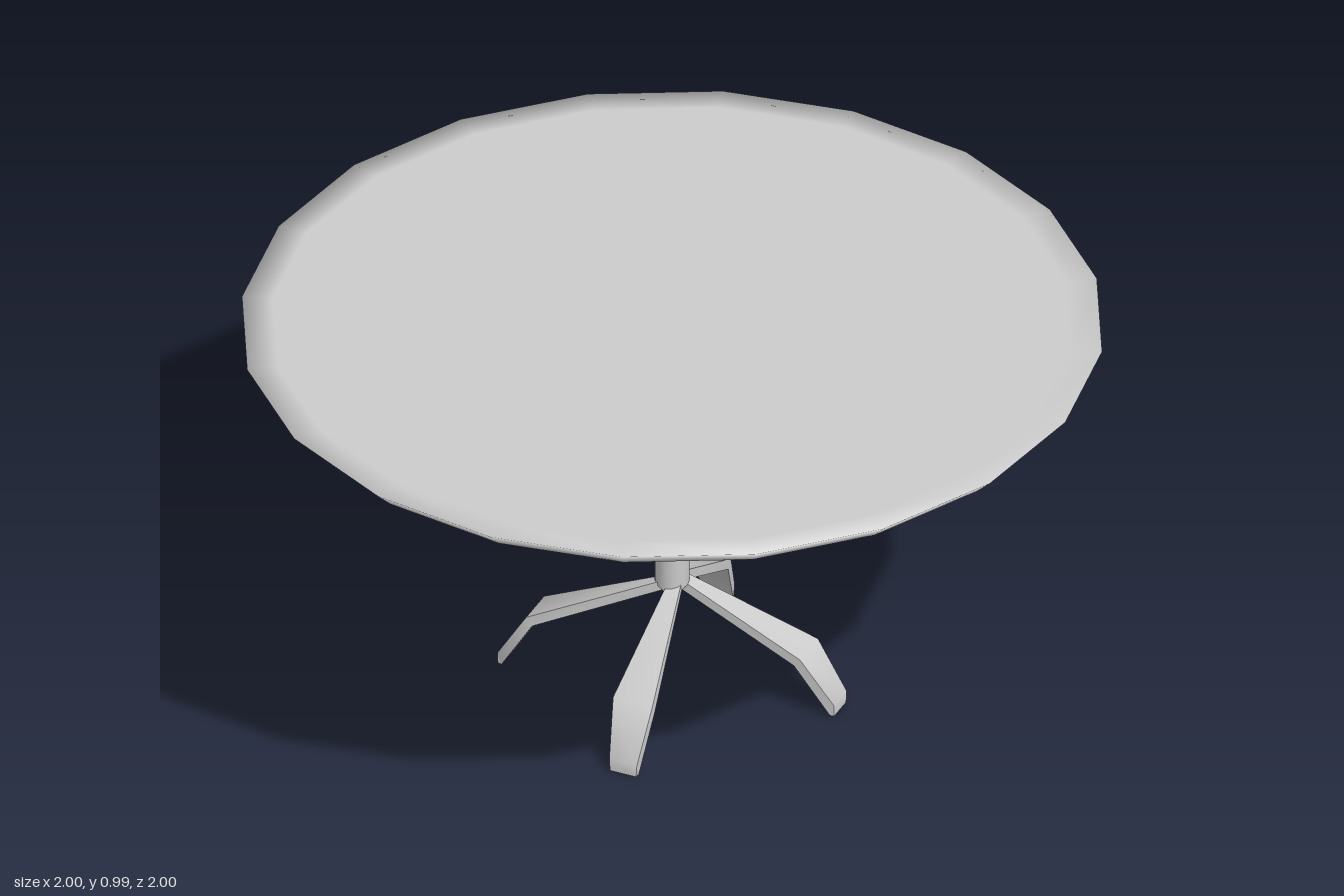
import * as THREE from 'three';
import { toCreasedNormals } from 'three/addons/utils/BufferGeometryUtils.js';

const material = new THREE.MeshStandardMaterial({ color: 0xcccccc });

function lathe(name, profile, sides) {
  const points = profile.map(([r, y]) => new THREE.Vector2(r, y));
  const mesh = new THREE.Mesh(new THREE.LatheGeometry(points, sides), material);
  mesh.name = name;
  return mesh;
}

// Bent blade leg running along +z: [x0, x1, zTop, yTop, zBottom, yBottom]
function legGeometry() {
  const sections = [
    [0.0, 0.03, 0.01, 0.295, 0.01, 0.27],
    [0.0, 0.1, 0.325, 0.15, 0.31, 0.13],
    [0.025, 0.095, 0.4, 0.03, 0.39, 0],
    [0.027, 0.093, 0.4, 0, 0.392, 0],
  ];
  const positions = [];
  for (const [x0, x1, zt, yt, zb, yb] of sections) {
    positions.push(x0, yt, zt, x1, yt, zt, x1, yb, zb, x0, yb, zb);
  }
  const index = [];
  const quad = (a, b, c, d) => index.push(a, b, c, a, c, d);
  const last = (sections.length - 1) * 4;
  for (let i = 0; i < last; i += 4) {
    for (let k = 0; k < 4; k++) {
      const n = (k + 1) % 4;
      quad(i + k, i + 4 + k, i + 4 + n, i + n);
    }
  }
  quad(0, 1, 2, 3);
  quad(last, last + 3, last + 2, last + 1);
  const geometry = new THREE.BufferGeometry();
  geometry.setAttribute('position', new THREE.Float32BufferAttribute(positions, 3));
  geometry.setIndex(index);
  return toCreasedNormals(geometry, Math.PI / 4);
}

export function createModel() {
  const table = new THREE.Group();
  table.name = 'pedestalTable';

  // Twenty-sided top with an undercut edge
  table.add(lathe('tableTop', [
    [0, 0.943], [0.92, 0.943], [0.957, 0.943], [1, 0.985], [0.93, 0.985], [0, 0.985],
  ], 20));

  // Central post with a rounded lower end
  table.add(lathe('post', [
    [0, 0.26], [0.025, 0.26], [0.04, 0.28], [0.04, 0.943],
  ], 16));

  // Four legs in a pinwheel
  const geometry = legGeometry();
  for (let i = 0; i < 4; i++) {
    const leg = new THREE.Mesh(geometry, material);
    leg.name = `leg${i + 1}`;
    leg.rotation.y = i * Math.PI / 2;
    table.add(leg);
  }
  return table;
}
